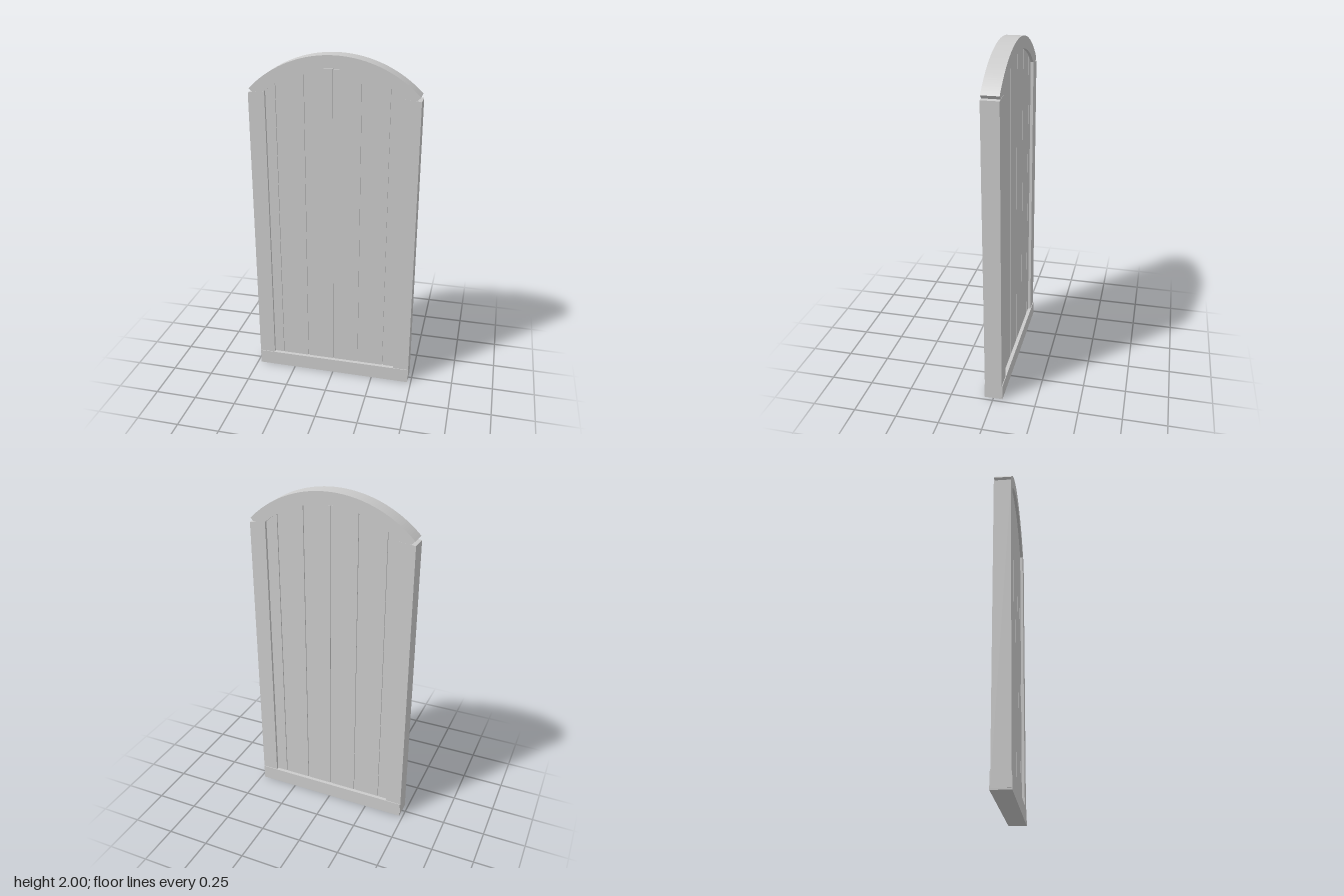
import * as THREE from 'three';

const CY = 1.333, R_OUT = 0.667, R_IN = 0.597; // centre and radii of the arched top
const material = new THREE.MeshStandardMaterial({ color: 0xcccccc });

// Extrude a front outline to a slab centred on z = 0
function slab(name, shape, depth) {
  const geometry = new THREE.ExtrudeGeometry(shape, { depth, bevelEnabled: false, curveSegments: 40 });
  geometry.translate(0, 0, -depth / 2);
  const mesh = new THREE.Mesh(geometry, material);
  mesh.name = name;
  return mesh;
}

const polygon = (points) => new THREE.Shape(points.map(([x, y]) => new THREE.Vector2(x, y)));

// Plank outline whose top follows the arch, cut flat at the crown
function plankShape(x0, x1, radius, crown) {
  const points = [[x0, 0.05], [x1, 0.05]];
  const steps = 10;
  for (let i = 0; i <= steps; i++) {
    const x = x1 + (x0 - x1) * i / steps;
    points.push([x, Math.min(crown, CY + Math.sqrt(radius * radius - x * x))]);
  }
  return polygon(points);
}

export function createModel() {
  const door = new THREE.Group();
  door.name = 'archedDoor';

  // Bottom rail, slightly proud of the stiles
  const rail = new THREE.Mesh(new THREE.BoxGeometry(0.956, 0.09, 0.108), material);
  rail.name = 'bottomRail';
  rail.position.y = 0.045;
  door.add(rail);

  // Side stiles with sloping tops
  for (const side of [-1, 1]) {
    const points = [[0.385, 0.008], [0.48, 0.008], [0.48, 1.778], [0.385, 1.79]];
    if (side < 0) points.reverse();
    door.add(slab(side < 0 ? 'rightStile' : 'leftStile',
      polygon(points.map(([x, y]) => [x * side, y])), 0.1));
  }

  // Arched top rail with radial end cuts
  const half = Math.asin(0.475 / R_OUT);
  const arch = new THREE.Shape();
  arch.absarc(0, CY, R_OUT, Math.PI / 2 - half, Math.PI / 2 + half, false);
  arch.absarc(0, CY, R_IN, Math.PI / 2 + half, Math.PI / 2 - half, true);
  arch.closePath();
  door.add(slab('archRail', arch, 0.098));

  // Vertical planks with narrow grooves between them
  const seams = [-0.4, -0.325, -0.162, 0, 0.158, 0.316, 0.4];
  const groove = 0.003;
  for (let i = 0; i < seams.length - 1; i++) {
    door.add(slab('plank' + (i + 1),
      plankShape(seams[i] + groove, seams[i + 1] - groove, 0.61, 1.924), 0.066));
  }

  // Thin core closing the grooves
  door.add(slab('panelCore', plankShape(-0.4, 0.4, 0.605, 1.92), 0.05));

  return door;
}
